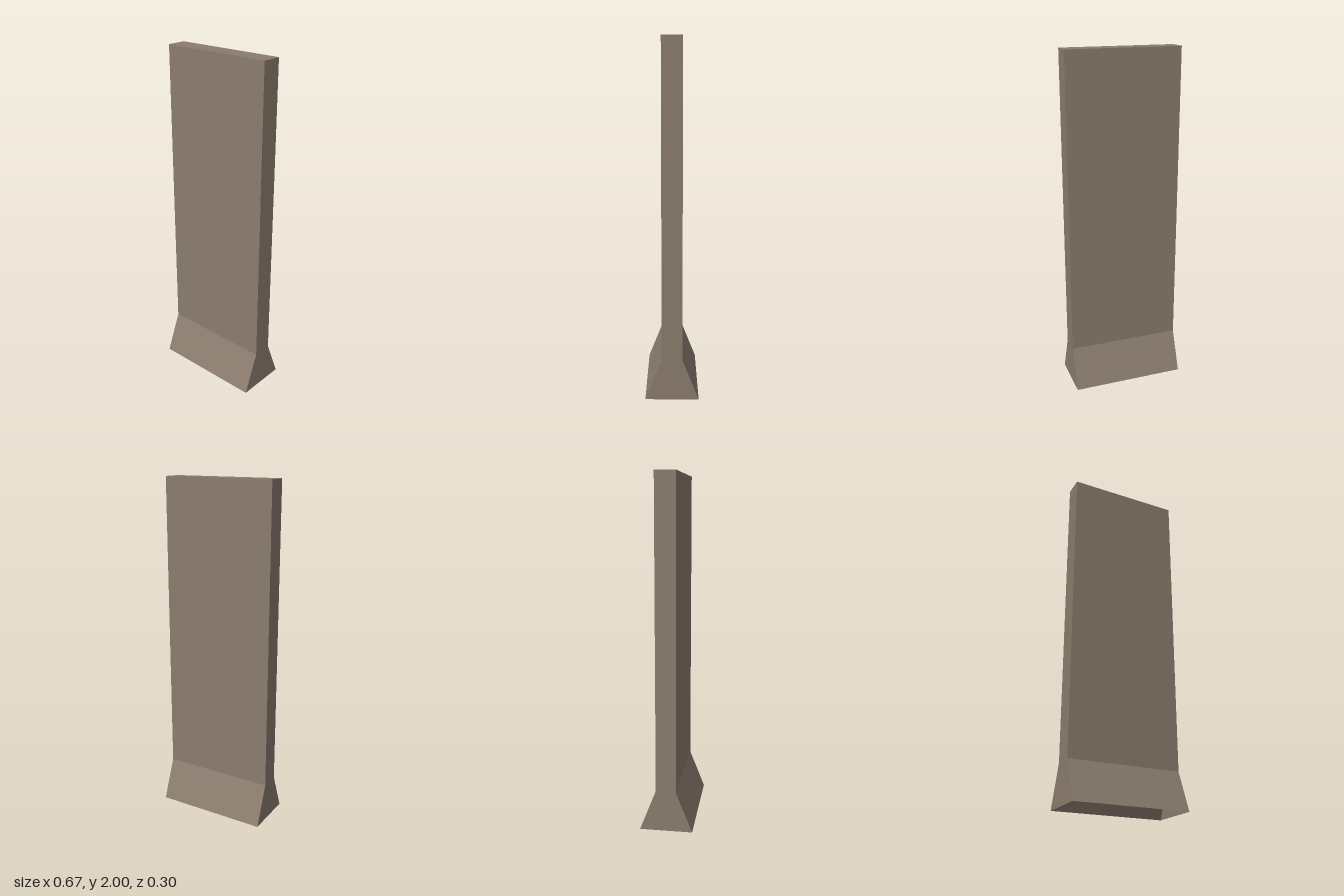
import * as THREE from 'three';

const HALF_WIDTH = 0.333;

// Four corners of a level rectangle, counter-clockwise seen from above
function ring(y, halfDepth) {
  return [[1, 1], [1, -1], [-1, -1], [-1, 1]].map(([sx, sz]) => [sx * HALF_WIDTH, y, sz * halfDepth]);
}

// Four walls between two rings, with an optional lid on the upper one
function shell(lower, upper, lid) {
  const positions = [];
  const quad = (a, b, c, d) => positions.push(...a, ...b, ...c, ...a, ...c, ...d);
  for (let i = 0; i < 4; i++) {
    const j = (i + 1) % 4;
    quad(lower[i], lower[j], upper[j], upper[i]);
  }
  if (lid) quad(...upper);
  const geometry = new THREE.BufferGeometry();
  geometry.setAttribute('position', new THREE.Float32BufferAttribute(positions, 3));
  geometry.computeVertexNormals();
  return geometry;
}

export function createModel() {
  const group = new THREE.Group();
  group.name = 'wallPanel';
  const concrete = new THREE.MeshStandardMaterial({ color: 0x8b7d6f, side: THREE.DoubleSide, flatShading: true });
  concrete.name = 'warm grey concrete';

  const foot = ring(0, 0.151);
  const knee = ring(0.233, 0.058);
  const top = ring(2, 0.058);

  // Flared foot, open underneath and hollow
  const base = new THREE.Mesh(shell(foot, knee, false), concrete);
  base.name = 'flaredBase';

  // Upright slab with a closed top
  const slab = new THREE.Mesh(shell(knee, top, true), concrete);
  slab.name = 'uprightSlab';

  group.add(base, slab);
  return group;
}
